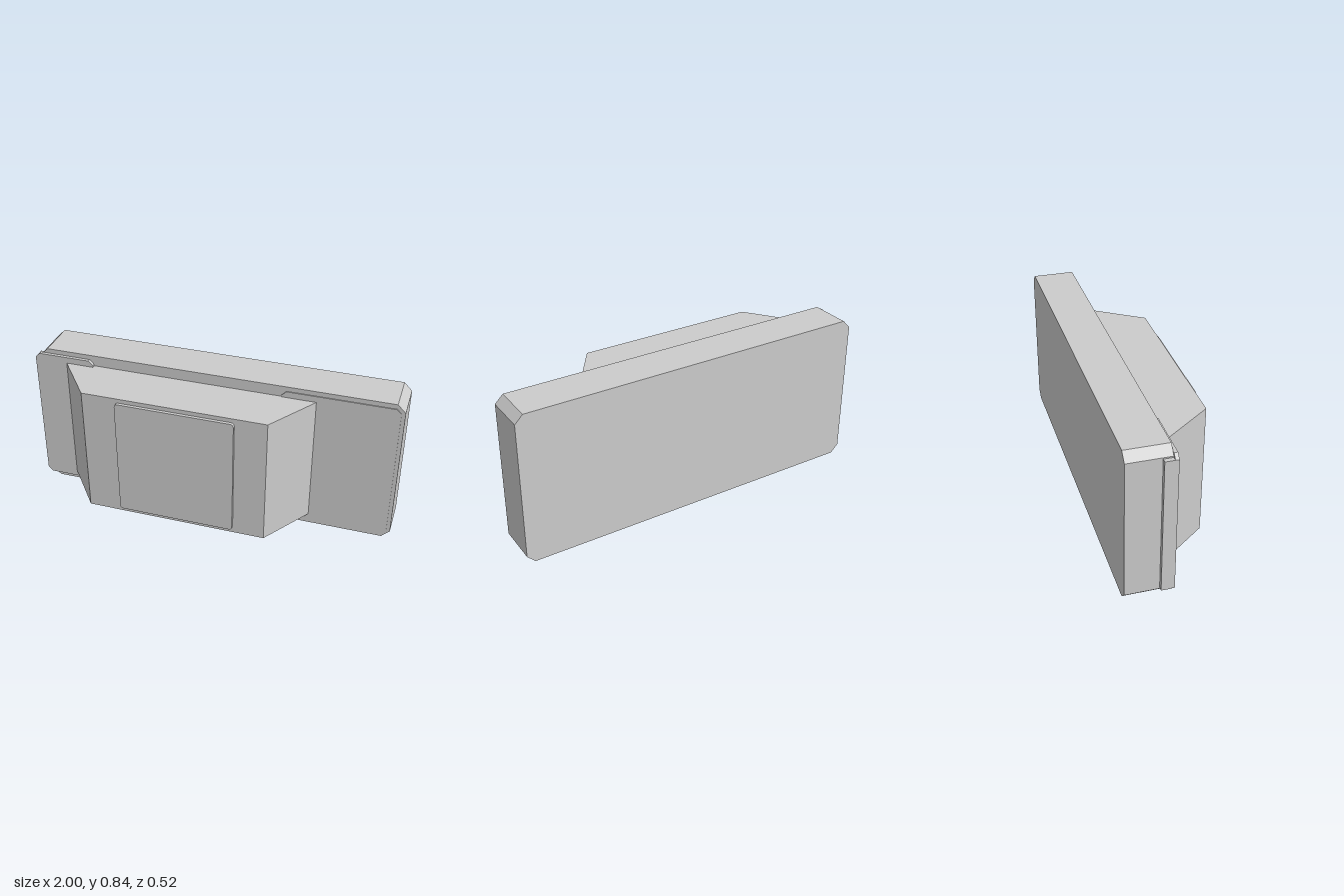
import * as THREE from 'three';

const material = new THREE.MeshStandardMaterial({ color: 0xcccccc, flatShading: true });

// Rectangle outline with cut or rounded corners
function panelShape(x0, x1, y0, y1, c, round = false) {
  const s = new THREE.Shape();
  const corner = (px, py, x, y) => (round ? s.quadraticCurveTo(px, py, x, y) : s.lineTo(x, y));
  s.moveTo(x0 + c, y0);
  s.lineTo(x1 - c, y0);
  corner(x1, y0, x1, y0 + c);
  s.lineTo(x1, y1 - c);
  corner(x1, y1, x1 - c, y1);
  s.lineTo(x0 + c, y1);
  corner(x0, y1, x0, y1 - c);
  s.lineTo(x0, y0 + c);
  corner(x0, y0, x0 + c, y0);
  return s;
}

function addMesh(group, name, geometry) {
  const mesh = new THREE.Mesh(geometry, material);
  mesh.name = name;
  group.add(mesh);
  return mesh;
}

// Panel lying in the xy plane, from z0 to z1
function addPanel(group, name, shape, z0, z1) {
  const geometry = new THREE.ExtrudeGeometry(shape, { depth: z1 - z0, bevelEnabled: false, curveSegments: 4 });
  geometry.translate(0, 0, z0);
  return addMesh(group, name, geometry);
}

export function createModel() {
  const model = new THREE.Group();
  model.name = 'device';

  // Main slab with cut corners
  addPanel(model, 'body', panelShape(-0.977, 1, 0, 0.84, 0.043), -0.26, -0.035);

  // Raised housing: a trapezoid in plan, extruded upwards
  const plan = new THREE.Shape([
    new THREE.Vector2(-0.82, 0.02),
    new THREE.Vector2(-0.83, 0.035),
    new THREE.Vector2(0.555, 0.035),
    new THREE.Vector2(0.37, -0.243),
    new THREE.Vector2(-0.62, -0.243),
  ]);
  const housing = new THREE.ExtrudeGeometry(plan, { depth: 0.72, bevelEnabled: false });
  housing.rotateX(-Math.PI / 2);
  housing.translate(0, 0.06, 0);
  addMesh(model, 'housing', housing);

  // Rounded panel on the housing front
  addPanel(model, 'frontPanel', panelShape(-0.435, 0.2, 0.087, 0.757, 0.02, true), 0.243, 0.26);

  // Cover plate on the right end, with a lip wrapping the side
  const cover = new THREE.Group();
  cover.name = 'endCover';
  addPanel(cover, 'coverPlate', panelShape(-1, -0.665, 0.028, 0.814, 0.024), -0.036, -0.017);
  const lip = addMesh(cover, 'coverLip', new THREE.BoxGeometry(0.03, 0.74, 0.05));
  lip.position.set(-0.985, 0.42, -0.06);
  model.add(cover);

  // Very thin plate on the other end
  addPanel(model, 'thinPlate', panelShape(0.37, 0.98, 0.028, 0.814, 0.024), -0.036, -0.03);

  return model;
}
